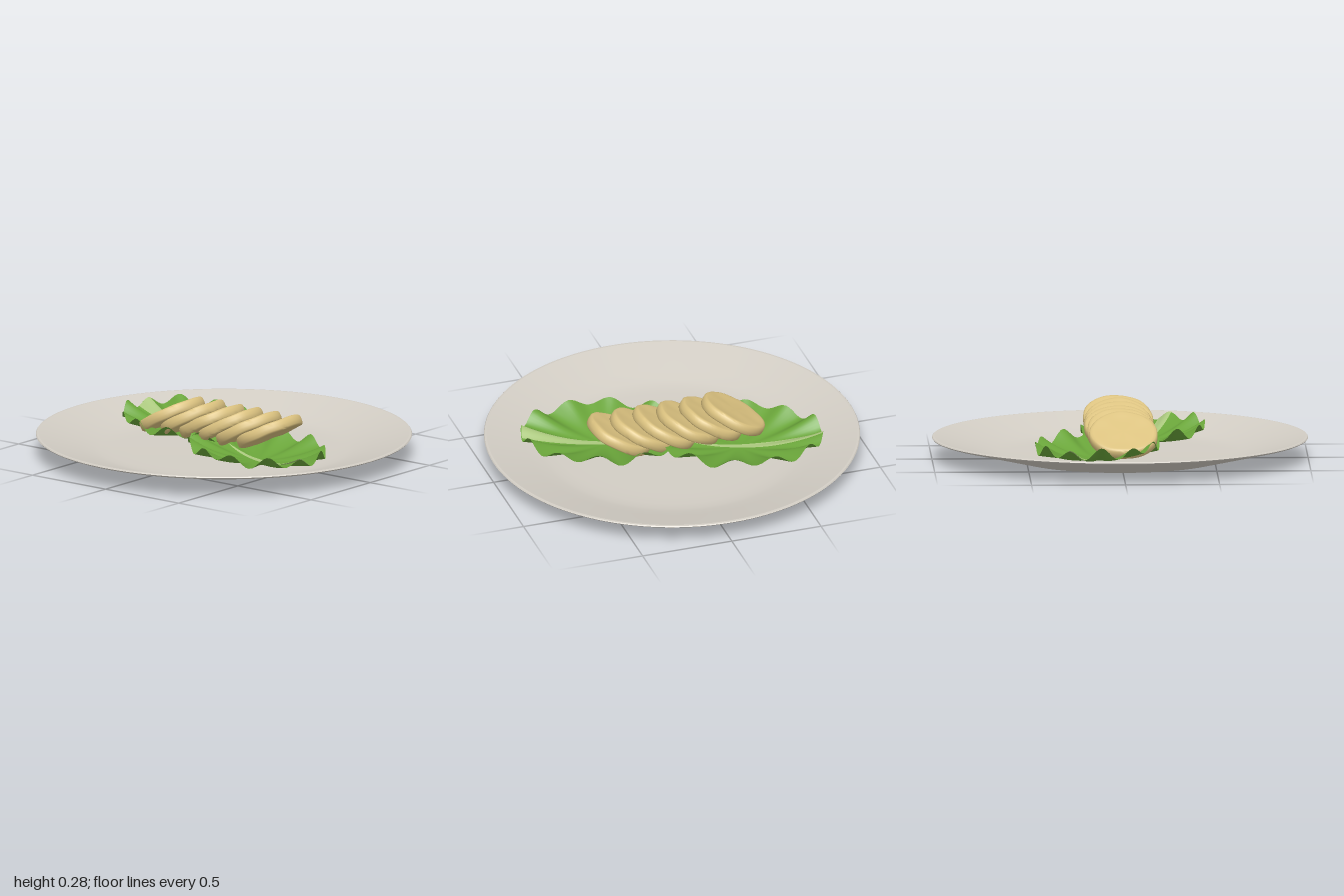
import * as THREE from 'three';
import { toCreasedNormals } from 'three/addons/utils/BufferGeometryUtils.js';

const material = (name, color, side = THREE.FrontSide) => {
  const m = new THREE.MeshStandardMaterial({ color, side });
  m.name = name;
  return m;
};

const pts = (list) => list.map(([x, y]) => new THREE.Vector2(x, y));

// Surface from a grid of points given by a function of u and v (0..1)
function gridSurface(nu, nv, at) {
  const g = new THREE.PlaneGeometry(1, 1, nu, nv);
  const p = g.attributes.position;
  for (let i = 0; i < p.count; i++) {
    const [x, y, z] = at(p.getX(i) + 0.5, p.getY(i) + 0.5);
    p.setXYZ(i, x, y, z);
  }
  g.computeVertexNormals();
  return g;
}

// Leaf: an ellipse that cups upward and ruffles toward its edge
const LEAF_A = 0.45, LEAF_B = 0.32;
function leafHeight(x, z) {
  const t = Math.hypot(x / LEAF_A, z / LEAF_B);
  const a = Math.atan2(z / LEAF_B, x / LEAF_A);
  const ruffle = Math.sin(12 * a + 0.6) + 0.35 * Math.sin(7 * a + 1.3);
  return 0.043 + 0.08 * t * t + 0.026 * t ** 2.5 * ruffle;
}

function createLeaf(leafMat, ribMat) {
  const leaf = new THREE.Group();
  const blade = new THREE.Mesh(gridSurface(144, 16, (u, v) => {
    const a = u * Math.PI * 2;
    const x = LEAF_A * v * Math.cos(a), z = -LEAF_B * v * Math.sin(a);
    return [x, leafHeight(x, z), z];
  }), leafMat);
  blade.name = 'leafBlade';

  // Pale midrib, wide at the stem end and tapering inward
  const rib = new THREE.Mesh(gridSurface(40, 8, (u, v) => {
    const x = -0.445 + 0.72 * u;
    const z = (0.5 - v) * 0.072 * (1 - u) ** 0.8;
    return [x, leafHeight(x, z) + 0.005, z];
  }), ribMat);
  rib.name = 'leafMidrib';
  leaf.add(blade, rib);
  return leaf;
}

// Slice: a round disc with softened edges, a faint rim and an uneven outline
function createSlice(mat, seed) {
  const r = 0.183, h = 0.03;
  const g = new THREE.LatheGeometry(pts([
    [0, -h + 0.004], [r * 0.75, -h + 0.004], [r * 0.88, -h], [r * 0.95, -h + 0.002],
    [r * 0.99, -h + 0.01], [r, 0], [r * 0.99, h - 0.01], [r * 0.95, h - 0.002],
    [r * 0.88, h], [r * 0.75, h - 0.004], [r * 0.4, h - 0.003], [0, h - 0.004],
  ]), 56);
  const p = g.attributes.position;
  for (let i = 0; i < p.count; i++) {
    const x = p.getX(i), z = p.getZ(i), a = Math.atan2(z, x);
    const k = 1 + 0.014 * Math.sin(3 * a + seed * 1.7) + 0.008 * Math.sin(5 * a + seed * 2.9);
    const bump = 0.002 * Math.sin(34 * x + seed) * Math.sin(31 * z + seed * 2);
    p.setXYZ(i, x * k, p.getY(i) + bump, z * k);
  }
  return new THREE.Mesh(toCreasedNormals(g, 0.9), mat);
}

export function createModel() {
  const model = new THREE.Group();
  model.name = 'platedSlices';
  const plateMat = material('warm white ceramic', 0xd2cdc4);
  const leafMat = material('leaf green', 0x6aa53a, THREE.DoubleSide);
  const ribMat = material('pale midrib green', 0xabc87e, THREE.DoubleSide);
  const sliceMat = material('golden tan', 0xdac17f);

  // Plate with a flat foot, sloping sides and a shallow well
  const plate = new THREE.Mesh(toCreasedNormals(new THREE.LatheGeometry(pts([
    [0, 0], [0.55, 0], [0.98, 0.103], [0.996, 0.109], [1, 0.114], [0.996, 0.119],
    [0.985, 0.12], [0.965, 0.115], [0.78, 0.062], [0.7, 0.041], [0.66, 0.033],
    [0.6, 0.028], [0.5, 0.026], [0, 0.026],
  ]), 128), 0.22), plateMat);
  plate.name = 'plate';
  model.add(plate);

  // Two leaves, stems pointing outward
  for (const side of [-1, 1]) {
    const leaf = createLeaf(leafMat, ribMat);
    leaf.name = side < 0 ? 'rightLeaf' : 'leftLeaf';
    leaf.position.set(0.33 * side, side < 0 ? 0.003 : 0, 0.13 * side);
    leaf.rotation.y = -0.3 + (side > 0 ? Math.PI : 0);
    model.add(leaf);
  }

  // Row of six tilted, overlapping slices
  const slices = new THREE.Group();
  slices.name = 'slices';
  for (let i = 0; i < 6; i++) {
    const slice = createSlice(sliceMat, i + 1);
    slice.name = `slice${i + 1}`;
    slice.position.set(-0.344 + 0.129 * i, 0.171, i === 0 ? 0.008 : -0.005 + 0.004 * Math.sin(i * 2));
    slice.rotation.set(0, 0, 0.5 + 0.015 * Math.sin(i * 2.3));
    slices.add(slice);
  }
  model.add(slices);
  return model;
}
